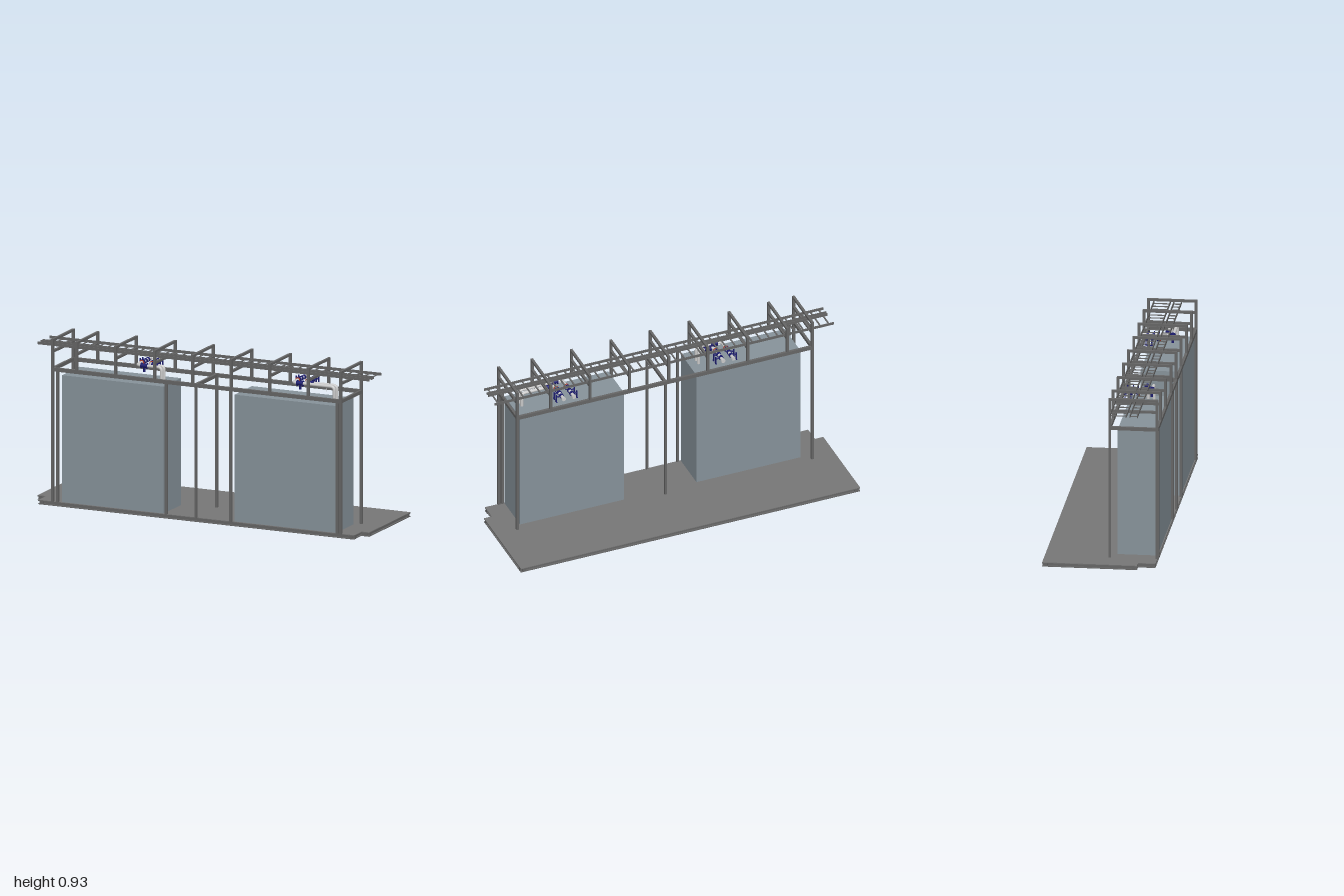
import * as THREE from 'three';

const mat = (color) => new THREE.MeshStandardMaterial({ color });
const steel = mat(0x666666), deckGrey = mat(0x777777), cabinetGrey = mat(0x87939b);
const pipeGrey = mat(0xcccccc), valveBlue = mat(0x1c1c70), red = mat(0xb04030);

// Box given by its min and max corners
function box(parent, name, material, [x0, y0, z0], [x1, y1, z1]) {
  const m = new THREE.Mesh(new THREE.BoxGeometry(x1 - x0, y1 - y0, z1 - z0), material);
  m.position.set((x0 + x1) / 2, (y0 + y1) / 2, (z0 + z1) / 2);
  m.name = name;
  parent.add(m);
  return m;
}

// Cylinder centred on a point, lying along the given axis
function rod(parent, name, material, r, length, axis, x, y, z) {
  const g = new THREE.CylinderGeometry(r, r, length, 16);
  if (axis === 'x') g.rotateZ(Math.PI / 2);
  if (axis === 'z') g.rotateX(Math.PI / 2);
  const m = new THREE.Mesh(g, material);
  m.position.set(x, y, z);
  m.name = name;
  parent.add(m);
}

// Pipe through points with rounded elbows
function pipe(parent, name, pts, r, bend) {
  const v = pts.map((p) => new THREE.Vector3(...p));
  const path = new THREE.CurvePath();
  let from = v[0];
  for (let i = 1; i < v.length - 1; i++) {
    const a = v[i].clone().add(v[i - 1].clone().sub(v[i]).setLength(bend));
    const b = v[i].clone().add(v[i + 1].clone().sub(v[i]).setLength(bend));
    path.add(new THREE.LineCurve3(from, a));
    path.add(new THREE.QuadraticBezierCurve3(a, v[i], b));
    from = b;
  }
  path.add(new THREE.LineCurve3(from, v[v.length - 1]));
  const m = new THREE.Mesh(new THREE.TubeGeometry(path, 90, r, 14), pipeGrey);
  m.material = pipeGrey;
  m.name = name;
  parent.add(m);
}

// Channel beam along one edge, open to the outside; side is the outward direction
function channel(parent, axis, a, b, edge, side) {
  const inner = edge - side * 0.03, web = edge - side * 0.012;
  const part = (u, w, y0, y1) => {
    const lo = Math.min(u, w), hi = Math.max(u, w);
    if (axis === 'x') box(parent, 'channelBeam', steel, [a, y0, lo], [b, y1, hi]);
    else box(parent, 'channelBeam', steel, [lo, y0, a], [hi, y1, b]);
  };
  part(edge, inner, 0, 0.004);
  part(edge, inner, 0.018, 0.022);
  part(web, inner, 0.004, 0.018);
}

function createBase() {
  const base = new THREE.Group();
  base.name = 'base';
  // Deck plate with notched front corners
  box(base, 'deck', deckGrey, [-1, 0.021, -0.31], [1, 0.025, 0.21]);
  box(base, 'frontDeck', deckGrey, [-0.95, 0.021, 0.21], [0.955, 0.025, 0.305]);
  channel(base, 'x', -1, 1, -0.31, -1);
  channel(base, 'x', -0.95, 0.955, 0.305, 1);
  for (const s of [-1, 1]) {
    channel(base, 'z', -0.31, 0.21, s, s);
    channel(base, 'z', 0.18, 0.305, s * 0.952, s);
    channel(base, 'x', s < 0 ? -1 : 0.925, s < 0 ? -0.925 : 1, 0.21, 1);
  }
  // Cross beams under the deck
  for (const x of [-0.1, 0.42]) box(base, 'crossBeam', steel, [x - 0.015, 0.002, -0.29], [x + 0.015, 0.022, 0.28]);
  return base;
}

function createFrame() {
  const frame = new THREE.Group();
  frame.name = 'frame';
  const h = 0.007, zf = 0.304, zr = 0.044;
  const post = (x, z, y0, y1) => box(frame, 'post', steel, [x - h, y0, z - h], [x + h, y1, z + h]);
  // Main posts
  for (const x of [-0.865, -0.835, -0.18, 0, 0.21, 0.853, 0.873]) post(x, zf, 0.022, 0.757);
  for (const x of [-0.865, 0, 0.873]) post(x, zr, 0.022, 0.757);
  // Ring beam
  for (const z of [zf, zr]) box(frame, 'longBeam', steel, [-0.872, 0.754, z - h], [0.88, 0.775, z + h]);
  for (const x of [-0.865, 0, 0.873]) box(frame, 'tieBeam', steel, [x - h, 0.755, zr], [x + h, 0.774, zf]);
  // Upper portal frames
  for (const x of [-0.865, -0.718, -0.485, -0.25, -0.02, 0.212, 0.445, 0.677, 0.873]) {
    post(x, zf, 0.77, 0.934);
    post(x, zr, 0.77, 0.934);
    box(frame, 'portalTop', steel, [x - h, 0.921, zr], [x + h, 0.934, zf]);
    box(frame, 'trayBearer', steel, [x - h, 0.857, zr], [x + h, 0.87, zf]);
  }
  return frame;
}

// Ladder tray running the whole length
function createTray(z0, z1) {
  const tray = new THREE.Group();
  tray.name = 'cableTray';
  for (const z of [z0, z1]) box(tray, 'sideRail', steel, [-1, 0.87, z - 0.002], [1, 0.885, z + 0.002]);
  for (let i = 0; i < 40; i++) {
    const x = -0.975 + i * 0.05;
    box(tray, 'rung', steel, [x - 0.004, 0.87, z0], [x + 0.004, 0.874, z1]);
  }
  return tray;
}

// Pair of pipes with valves, dropping into a cabinet at xEnd
function createPiping(x0, xEnd) {
  const set = new THREE.Group();
  set.name = 'piping';
  const y = 0.817, r = 0.009;
  [[x0, 0.212, -1], [x0 + 0.06, 0.18, 1]].forEach(([x, zTurn, s]) => {
    pipe(set, 'pipe', [[x, y, 0.037], [x, y, zTurn], [xEnd, y, zTurn], [xEnd, 0.73, zTurn]], r, 0.022);
    // Flanges and lever valves
    for (const z of [0.075, 0.107]) {
      rod(set, 'valveBody', valveBlue, 0.013, 0.012, 'z', x, y, z);
      rod(set, 'valveStem', valveBlue, 0.004, 0.03, 'x', x + s * 0.015, y, z);
      box(set, 'valveLever', valveBlue, [x + s * 0.03 - 0.003, 0.786, z - 0.003], [x + s * 0.03 + 0.003, 0.828, z + 0.003]);
      box(set, 'leverFoot', valveBlue, [x + s * 0.03 - 0.003, 0.784, z - 0.009], [x + s * 0.03 + 0.003, 0.788, z + 0.009]);
    }
    rod(set, 'flange', valveBlue, 0.016, 0.005, 'z', x, y, 0.137);
    rod(set, 'gasket', red, 0.015, 0.002, 'z', x, y, 0.151);
    rod(set, 'endFlange', pipeGrey, 0.012, 0.005, 'z', x, y, 0.041);
  });
  // Inline valve bodies on the cross runs
  for (const z of [0.212, 0.18]) {
    const xc = x0 + (z > 0.2 ? 0.045 : 0.095);
    rod(set, 'inlineValve', valveBlue, 0.012, 0.03, 'x', xc, y, z);
    for (const d of [-0.017, 0.017]) rod(set, 'inlineFlange', valveBlue, 0.016, 0.004, 'x', xc + d, y, z);
  }
  rod(set, 'drain', valveBlue, 0.007, 0.03, 'y', x0 + 0.045, 0.797, 0.212);
  // Thin gauge branch
  rod(set, 'gaugeBranch', pipeGrey, 0.002, 0.03, 'y', xEnd - 0.045, 0.802, 0.212);
  return set;
}

export function createModel() {
  const model = new THREE.Group();
  model.name = 'equipmentSkid';
  model.add(createBase(), createFrame());
  for (const x of [-0.81, 0.23]) box(model, 'cabinet', cabinetGrey, [x, 0.025, 0.08], [x + 0.612, 0.735, 0.299]);
  model.add(createTray(0.06, 0.15), createTray(0.17, 0.211));
  model.add(createPiping(-0.4, -0.252), createPiping(0.54, 0.79));
  return model;
}
